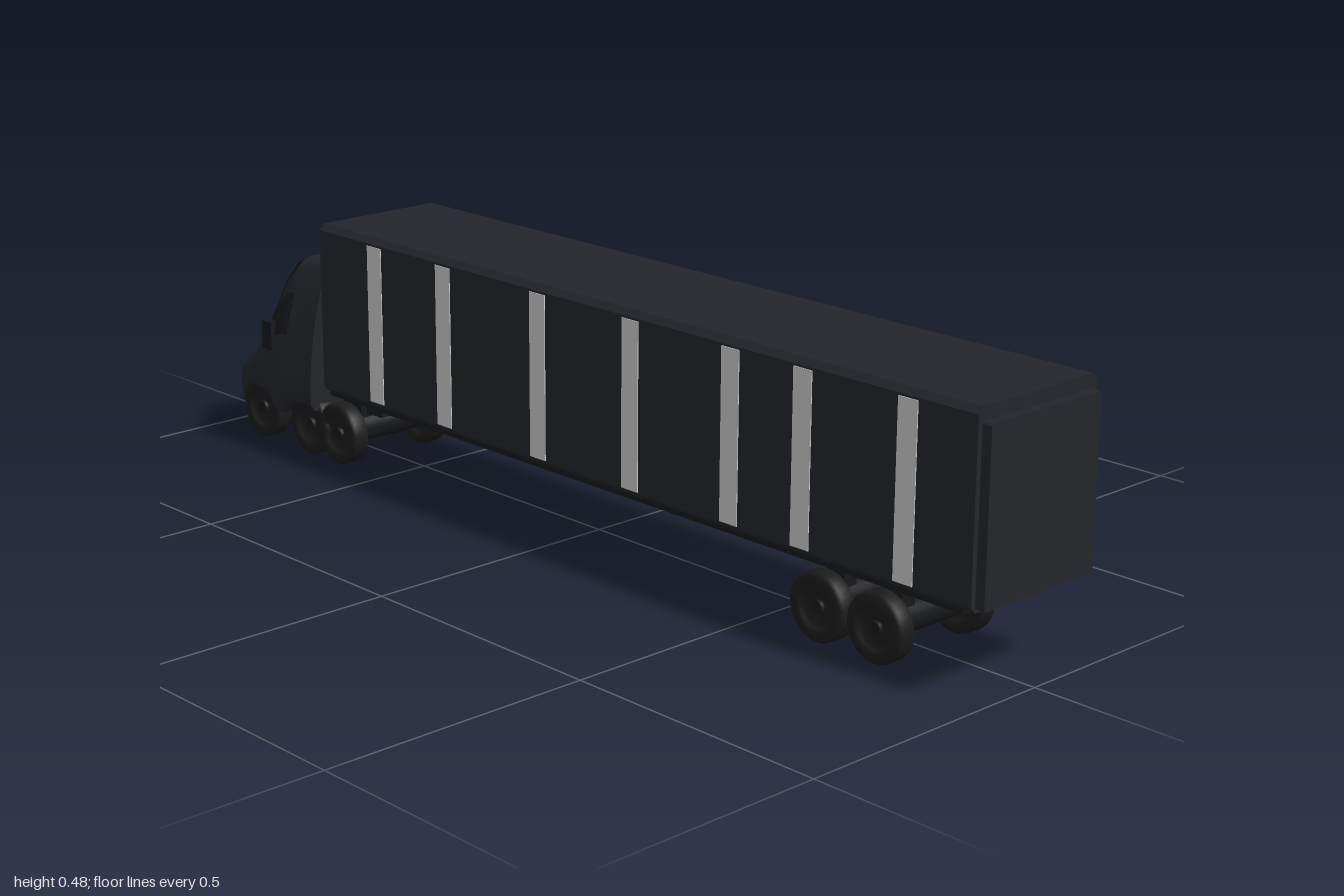
import * as THREE from 'three';

const mat = (color) => new THREE.MeshStandardMaterial({ color, side: THREE.DoubleSide });

// Cab stations: z, bottom y, top y, body half width, shoulder y, roof half width
const STATIONS = [
  [-0.68, 0.075, 0.39, 0.13, 0.19, 0.095],
  [-0.78, 0.07, 0.375, 0.132, 0.19, 0.09],
  [-0.82, 0.065, 0.335, 0.13, 0.18, 0.088],
  [-0.86, 0.06, 0.265, 0.126, 0.17, 0.085],
  [-0.90, 0.057, 0.195, 0.116, 0.145, 0.085],
  [-0.95, 0.055, 0.155, 0.1, 0.125, 0.08],
  [-0.985, 0.065, 0.125, 0.075, 0.105, 0.06],
  [-0.998, 0.08, 0.11, 0.055, 0.1, 0.05],
];
const FRONT_AXLES = [-0.715, -0.87];

// Half cross-section of the cab at z, from bottom centre to top centre
function cabSection(z) {
  let k = 0;
  while (k < STATIONS.length - 2 && z < STATIONS[k + 1][0]) k++;
  const a = STATIONS[k], b = STATIONS[k + 1];
  const f = THREE.MathUtils.clamp((z - a[0]) / (b[0] - a[0]), 0, 1);
  const [, yb, yt, w, ys, wr] = a.map((v, i) => v + (b[i] - v) * f);
  let arch = yb + 0.004;
  for (const c of FRONT_AXLES) {
    const d = 1 - ((z - c) / 0.066) ** 2;
    if (d > 0) arch = Math.max(arch, 0.06 + 0.045 * Math.sqrt(d));
  }
  arch = Math.min(arch, ys - 0.01);
  const pts = [[0, yb], [0.55 * w, yb], [0.6 * w, arch], [w * 0.97, arch], [w, ys],
    [wr, yt - 0.12 * (yt - yb)], [0.72 * wr, yt - 0.003], [0, yt]];
  return new THREE.CatmullRomCurve3(pts.map(([x, y]) => new THREE.Vector3(x, y, z)));
}

// Skin between z0 and z1; s runs 0..1 up the left side and 1..2 down the right
function cabSkin(z0, z1, s0, s1, offset = [0, 0, 0], nz = 56, ns = 84, caps = false) {
  const pos = [], idx = [];
  for (let i = 0; i <= nz; i++) {
    const curve = cabSection(z0 + (z1 - z0) * i / nz);
    for (let j = 0; j <= ns; j++) {
      const s = s0 + (s1 - s0) * j / ns;
      const p = curve.getPoint(s <= 1 ? s : 2 - s);
      pos.push((s <= 1 ? p.x : -p.x) + offset[0], p.y + offset[1], p.z + offset[2]);
    }
  }
  const n = ns + 1;
  for (let i = 0; i < nz; i++) for (let j = 0; j < ns; j++) {
    const a = i * n + j, c = a + n;
    idx.push(a, c, a + 1, a + 1, c, c + 1);
  }
  if (caps) for (const [row, flip] of [[0, false], [nz, true]]) {
    // End walls use their own vertices for a crisp edge
    const base = pos.length / 3;
    for (let j = 0; j < n; j++) pos.push(...pos.slice((row * n + j) * 3, (row * n + j) * 3 + 3));
    const mid = pos.length / 3;
    pos.push(0, row ? 0.095 : 0.2, row ? z1 : z0);
    for (let j = 0; j < ns; j++) {
      const p = base + j;
      flip ? idx.push(mid, p + 1, p) : idx.push(mid, p, p + 1);
    }
  }
  const g = new THREE.BufferGeometry();
  g.setAttribute('position', new THREE.Float32BufferAttribute(pos, 3));
  g.setIndex(idx);
  g.computeVertexNormals();
  return g;
}

export function createModel() {
  const root = new THREE.Group();
  root.name = 'semiTruck';
  const body = mat(0x23252a), dark = mat(0x17181b), tyre = mat(0x1b1b1c), grey = mat(0xcccccc);

  const add = (name, geo, m, x = 0, y = 0, z = 0, parent = root) => {
    const mesh = new THREE.Mesh(geo, m);
    mesh.name = name;
    mesh.position.set(x, y, z);
    parent.add(mesh);
    return mesh;
  };
  const box = (name, m, [w, h, d], [x, y, z]) => add(name, new THREE.BoxGeometry(w, h, d), m, x, y, z);

  // Trailer body with chamfered long edges
  const prism = (w, y0, y1, c, z0, z1) => {
    const s = new THREE.Shape([[-w + c, y0], [w - c, y0], [w, y0 + c], [w, y1 - c],
      [w - c, y1], [-w + c, y1], [-w, y1 - c], [-w, y0 + c]].map(([x, y]) => new THREE.Vector2(x, y)));
    return new THREE.ExtrudeGeometry(s, { depth: z1 - z0, bevelEnabled: false }).translate(0, 0, z0);
  };
  add('trailerBody', prism(0.141, 0.152, 0.48, 0.011, -0.625, 0.982), body);
  add('rearDoor', prism(0.131, 0.158, 0.456, 0.003, 0.98, 1.0), body);
  box('trailerFloor', dark, [0.262, 0.012, 1.58], [0, 0.15, 0.17]);
  for (const s of [-1, 1]) box('floorRail', dark, [0.02, 0.012, 1.6], [s * 0.06, 0.147, 0.16]);

  // Pale side ribs
  for (const z of [0.845, 0.626, 0.466, 0.23, -0.005, -0.262, -0.46])
    for (const s of [-1, 1]) box('sideRib', grey, [0.006, 0.3, 0.04], [s * 0.1395, 0.315, z]);

  // Tractor chassis
  box('chassis', dark, [0.13, 0.05, 0.34], [0, 0.15, -0.74]);
  box('chassisTail', dark, [0.11, 0.05, 0.16], [0, 0.12, -0.64]);

  // Cab shell and glazing
  add('cabShell', cabSkin(-0.68, -0.998, 0, 2, [0, 0, 0], 56, 112, true), body);
  add('windshield', cabSkin(-0.79, -0.9, 0.76, 1.24, [0, 0.003, -0.003], 16, 24), dark);
  add('leftWindow', cabSkin(-0.76, -0.845, 0.61, 0.68, [0.003, 0.002, 0], 10, 8), dark);
  add('rightWindow', cabSkin(-0.76, -0.845, 1.32, 1.39, [-0.003, 0.002, 0], 10, 8), dark);
  box('hoodVent', dark, [0.04, 0.008, 0.012], [0, 0.188, -0.908]);
  box('noseGrille', dark, [0.08, 0.018, 0.008], [0, 0.095, -0.996]);

  // Mirrors
  for (const s of [-1, 1]) {
    box('mirror', dark, [0.02, 0.055, 0.03], [s * 0.122, 0.222, -0.82]);
    box('mirrorArm', dark, [0.03, 0.01, 0.012], [s * 0.108, 0.215, -0.82]);
  }

  // Wheels: tyre profile with a recessed hub, revolved about the axle
  const profile = [[0, -0.008], [0.03, -0.008], [0.036, -0.015], [0.042, -0.018], [0.054, -0.018],
    [0.06, -0.013], [0.06, 0.013], [0.054, 0.018], [0.042, 0.018], [0.036, 0.015], [0.03, 0.008], [0, 0.008]];
  const wheelGeo = new THREE.LatheGeometry(profile.map(([r, y]) => new THREE.Vector2(r, y)), 36);
  wheelGeo.rotateZ(Math.PI / 2);
  const hubGeo = new THREE.CylinderGeometry(0.012, 0.014, 0.03, 16).rotateZ(Math.PI / 2);
  const axleGeo = new THREE.CylinderGeometry(0.03, 0.03, 0.164, 24).rotateZ(Math.PI / 2);
  for (const z of [0.765, 0.64, -0.625, ...FRONT_AXLES]) {
    const axle = new THREE.Group();
    axle.name = 'axleSet';
    axle.position.set(0, 0.06, z);
    root.add(axle);
    add('axle', axleGeo, dark, 0, 0.005, 0, axle);
    for (const s of [-1, 1]) {
      add('wheel', wheelGeo, tyre, s * 0.098, 0, 0, axle);
      add('hub', hubGeo, dark, s * 0.098, 0, 0, axle);
      // Suspension struts up to the frame
      add('strut', new THREE.BoxGeometry(0.03, 0.075, 0.04), dark, s * 0.055, 0.055, 0, axle);
    }
  }
  return root;
}
